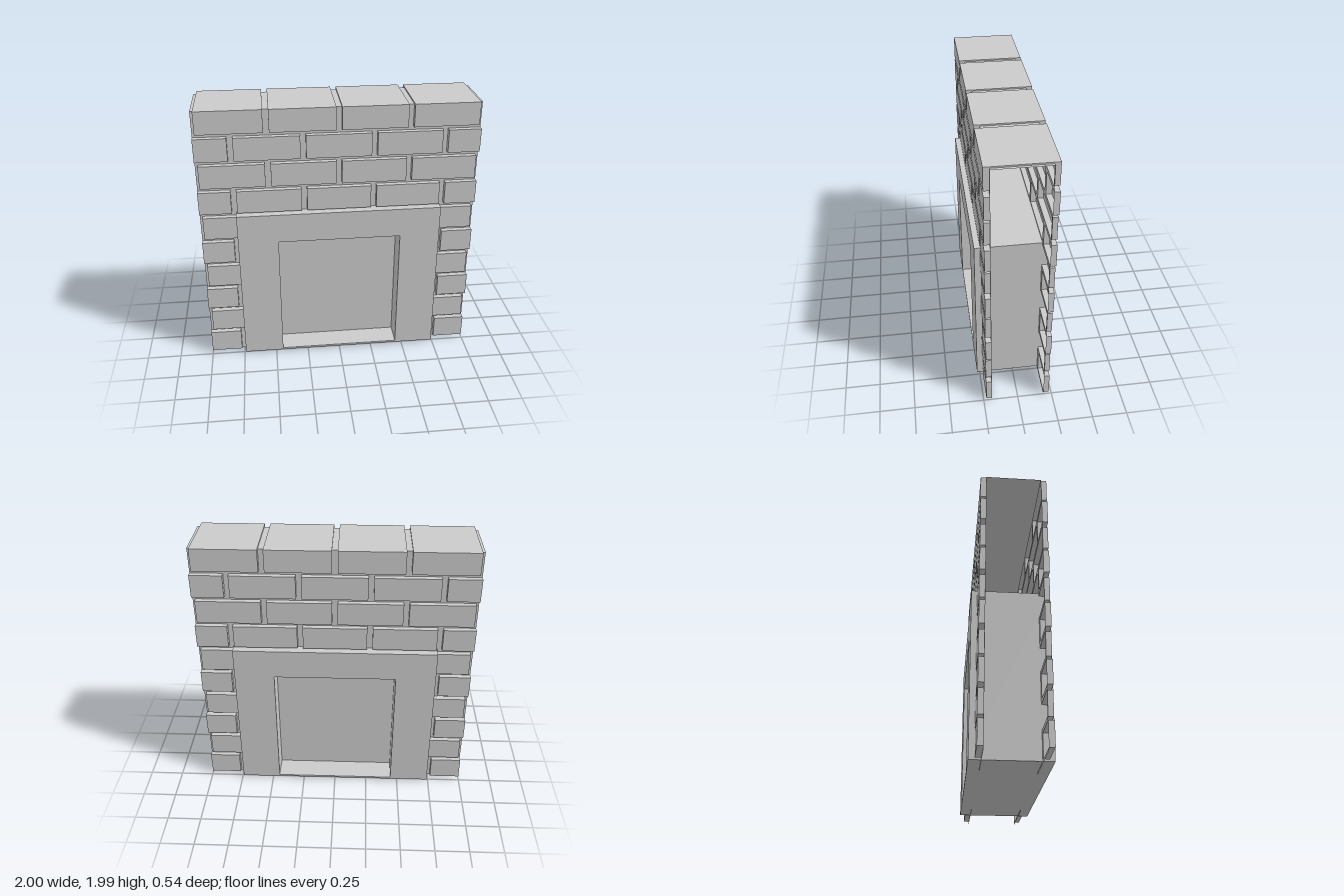
import * as THREE from 'three';

const WALL_Z = 0.19, BRICK_Z = 0.23, FRAME_Z = 0.27;
const ROWS = 10, PITCH = 0.2, TOP = 1.985, CAP = 1.975;
const LOW_ROWS = 6; // rows interrupted by the niche frame

const mat = new THREE.MeshStandardMaterial({ color: 0xcccccc, flatShading: true, side: THREE.DoubleSide });

function add(parent, name, geometry, x, y, z) {
  const mesh = new THREE.Mesh(geometry, mat);
  mesh.name = name;
  mesh.position.set(x, y, z);
  parent.add(mesh);
  return mesh;
}

// Flat piece of mortar on the wall plane
function mortar(parent, x0, x1, y0, y1) {
  if (x1 - x0 < 0.001) return;
  add(parent, 'mortar', new THREE.PlaneGeometry(x1 - x0, y1 - y0), (x0 + x1) / 2, (y0 + y1) / 2, WALL_Z);
}

// Raised hollow brick, open towards the inside of the wall
function brick(parent, x0, x1, y0, y1) {
  const g = new THREE.BoxGeometry(x1 - x0, y1 - y0, BRICK_Z - WALL_Z);
  g.setIndex(Array.from(g.index.array).slice(0, 30));
  g.clearGroups();
  add(parent, 'brick', g, (x0 + x1) / 2, (y0 + y1) / 2, (WALL_Z + BRICK_Z) / 2);
}

// Bricks of a row: odd rows hold four whole bricks, even rows start and end with halves
function rowSpans(row) {
  const spans = [];
  const start = row % 2 ? -1 : -1.25;
  for (let x = start; x < 0.99; x += 0.5) {
    spans.push([Math.max(-1, x + 0.02), Math.min(1, x + 0.48)]);
  }
  return spans;
}

function wallFace() {
  const wall = new THREE.Group();
  for (let row = 0; row < ROWS; row++) {
    const y0 = row * PITCH + 0.02;
    const y1 = row === ROWS - 1 ? TOP : y0 + 0.17;
    const low = row < LOW_ROWS;
    const ranges = low ? [[-1, -0.5], [0.5, 1]] : [[-1, 1]];
    for (const [a, b] of ranges) {
      // joint below the row
      mortar(wall, a, b, row ? y0 - 0.03 : 0, y0);
      // bricks with the upright joints between them
      let x = a;
      for (const [s, e] of rowSpans(row)) {
        if (s < a - 0.001 || e > b + 0.001) continue;
        mortar(wall, x, s, y0, Math.min(y1, CAP));
        brick(wall, s, e, y0, y1);
        x = e;
      }
      mortar(wall, x, b, y0, Math.min(y1, CAP));
    }
  }
  return wall;
}

export function createModel() {
  const model = new THREE.Group();
  model.name = 'brickWallWithNiche';

  // Two identical brick faces
  const front = wallFace();
  front.name = 'frontWall';
  const back = wallFace();
  back.name = 'backWall';
  back.rotation.y = Math.PI;
  model.add(front, back);

  // Top: mortar sheet with the top bricks running across it
  const sheet = new THREE.PlaneGeometry(2, WALL_Z * 2).rotateX(-Math.PI / 2);
  add(model, 'topMortar', sheet, 0, CAP, 0);
  for (const [s, e] of rowSpans(ROWS - 1)) {
    add(model, 'topBrick', new THREE.BoxGeometry(e - s, TOP - CAP, WALL_Z * 2), (s + e) / 2, (TOP + CAP) / 2, 0);
  }

  // Niche frame with its opening
  const rect = (P, x, y0, y1) => new P([
    new THREE.Vector2(-x, y0), new THREE.Vector2(x, y0),
    new THREE.Vector2(x, y1), new THREE.Vector2(-x, y1),
  ]);
  const shape = rect(THREE.Shape, 0.74, 0.015, 1.21);
  shape.holes.push(rect(THREE.Path, 0.447, 0.03, 0.99));
  const frame = new THREE.ExtrudeGeometry(shape, { depth: FRAME_Z * 2, bevelEnabled: false });
  add(model, 'nicheFrame', frame, 0, 0, -FRAME_Z);

  // Panel closing the niche on both sides
  add(model, 'nichePanel', new THREE.BoxGeometry(0.894, 0.96, 0.19), 0, 0.51, 0);

  return model;
}
